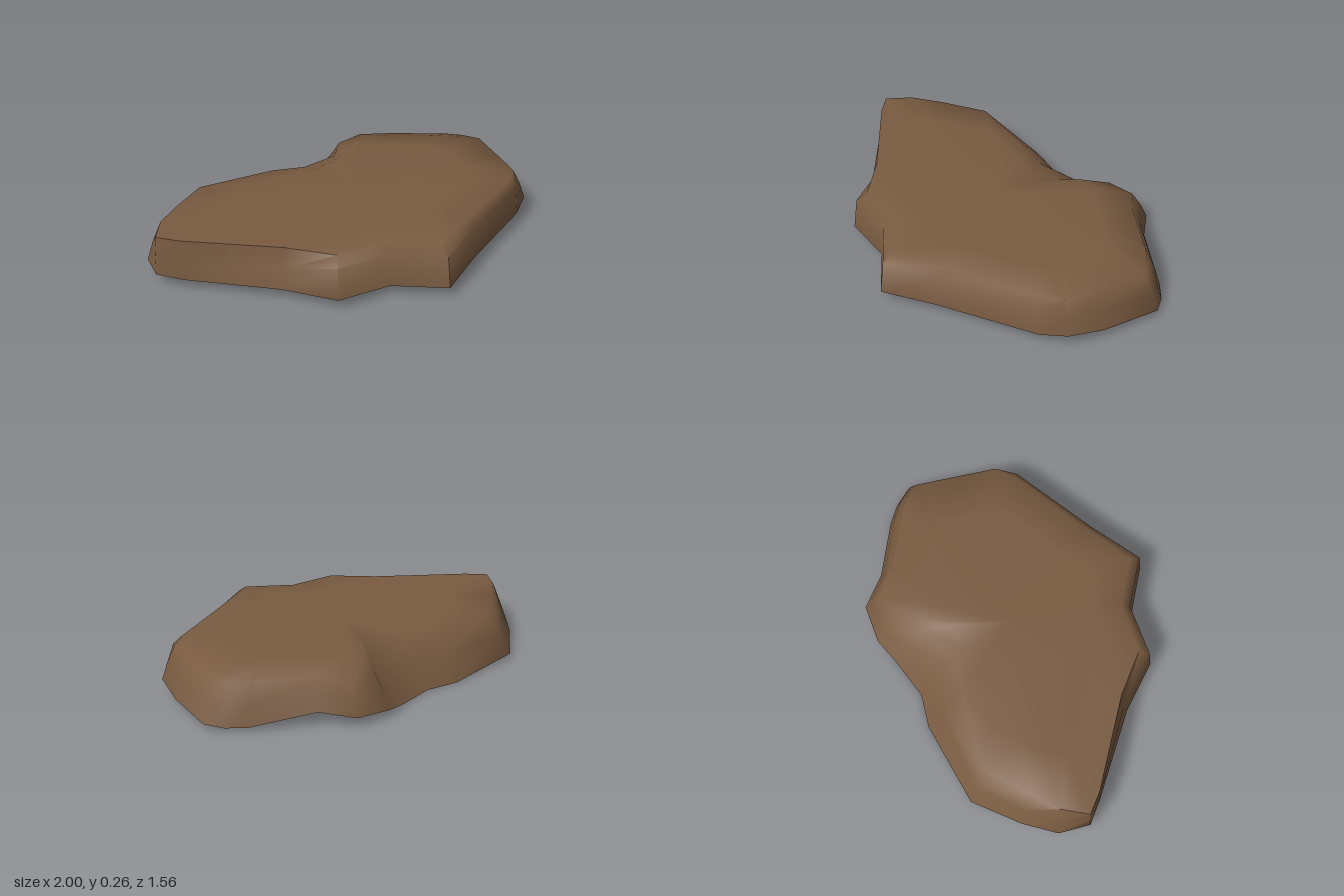
import * as THREE from 'three';
import { toCreasedNormals } from 'three/addons/utils/BufferGeometryUtils.js';

// Rim of the slab: bottom x, y, z then top x, y, z, clockwise from above
const rim = [
  [-1, .06, -.46, -.985, .265, -.46],
  [-.91, .05, -.6, -.86, .264, -.54],
  [-.74, .045, -.69, -.69, .255, -.59],
  [-.47, .02, -.78, -.44, .235, -.65],
  [-.03, 0, -.64, -.09, .246, -.44],
  [.12, 0, -.54, .06, .232, -.34],
  [.36, .01, -.5, .31, .2, -.32],
  [.49, .035, -.49, .45, .2, -.39],
  [.67, .05, -.4, .6, .205, -.35],
  [.73, .07, -.22, .66, .23, -.2],
  [.93, .02, .05, .84, .23, .06],
  [.98, .02, .15, .89, .226, .15],
  [1, .03, .25, .915, .223, .25],
  [.83, .04, .51, .765, .235, .46],
  [.71, .07, .66, .66, .24, .61],
  [.57, .05, .695, .54, .243, .645],
  [.05, .05, .735, .05, .252, .675],
  [-.26, .05, .78, -.23, .256, .7],
  [-.41, .05, .53, -.37, .257, .47],
  [-.66, .05, .4, -.6, .258, .35],
  [-.74, .05, .12, -.69, .26, .11],
  [-.95, .05, -.33, -.94, .264, -.34],
];

const topHeight = (x) => .254 - .012 * x;

// The front wall is steep with a rounded lip; the other sides slope evenly
function shoulder([x, y, z, u, v, w]) {
  const isFront = z > .3 && x < .6;
  const inset = isFront ? .28 : .42;
  const rise = isFront ? .8 : .5;
  const mix = THREE.MathUtils.lerp;
  return [mix(x, u, inset), mix(y, v, rise), mix(z, w, inset)];
}

function slabGeometry() {
  const n = rim.length;
  // Rings from the open bottom edge to the flat top
  const rings = [
    rim.map((p) => p.slice(0, 3)),
    rim.map(shoulder),
    rim.map((p) => p.slice(3)),
    rim.map(([, , , u, , w]) => [u * .72, topHeight(u * .72), w * .72]),
  ];
  const points = [...rings.flat(), [0, topHeight(0), 0]];
  const index = [];
  for (let r = 0; r < rings.length; r++) {
    for (let i = 0; i < n; i++) {
      const a = r * n + i, b = r * n + (i + 1) % n;
      if (r === rings.length - 1) index.push(a, n * rings.length, b);
      else index.push(a, a + n, b, b, a + n, b + n);
    }
  }
  const geometry = new THREE.BufferGeometry();
  geometry.setAttribute('position', new THREE.Float32BufferAttribute(points.flat(), 3));
  geometry.setIndex(index);
  return toCreasedNormals(geometry, 1.1);
}

export function createModel() {
  const group = new THREE.Group();
  group.name = 'rockSlab';
  // Open underneath, so both sides show
  const rock = new THREE.MeshStandardMaterial({ color: 0x795b41, side: THREE.DoubleSide });
  rock.name = 'brownRock';
  const slab = new THREE.Mesh(slabGeometry(), rock);
  slab.name = 'slabShell';
  group.add(slab);
  return group;
}
